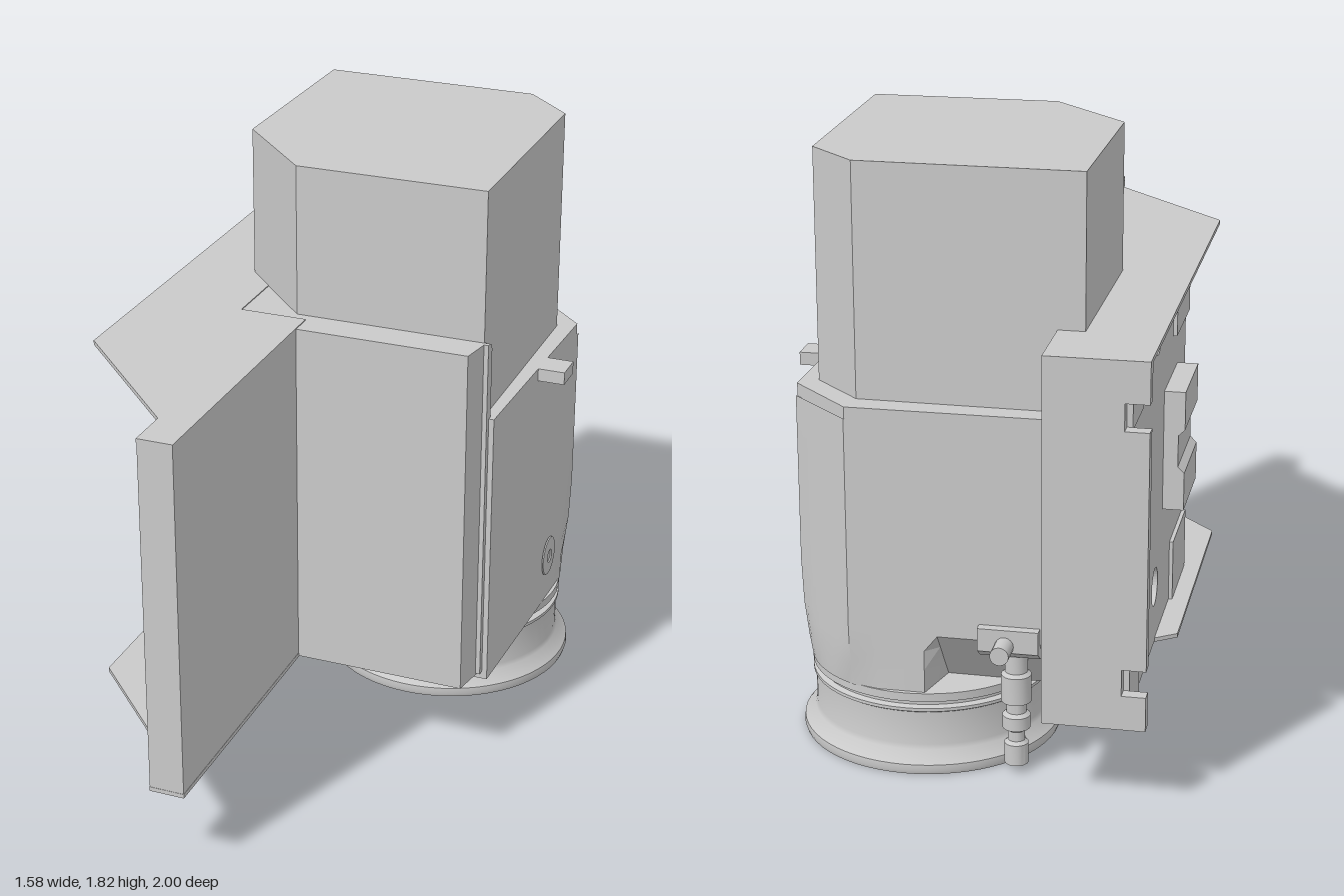
import * as THREE from 'three';
import { toCreasedNormals } from 'three/addons/utils/BufferGeometryUtils.js';
import { RoundedBoxGeometry } from 'three/addons/geometries/RoundedBoxGeometry.js';

const grey = new THREE.MeshStandardMaterial({ color: 0xcacaca });
grey.name = 'machine grey';

export function createModel() {
  const root = new THREE.Group();
  root.name = 'tool holder';
  // Parts are laid out square to the mounting plate: x along it, z away from it
  const unit = new THREE.Group();
  unit.name = 'holder assembly';
  unit.rotation.y = Math.atan2(0.825, 0.565);
  root.add(unit);

  const add = (name, geo, x = 0, y = 0, z = 0) => {
    const m = new THREE.Mesh(geo, grey);
    m.name = name;
    m.position.set(x, y, z);
    unit.add(m);
    return m;
  };
  // Box given by its limits
  const box = (name, x0, x1, y0, y1, z0, z1) =>
    add(name, new THREE.BoxGeometry(x1 - x0, y1 - y0, z1 - z0), (x0 + x1) / 2, (y0 + y1) / 2, (z0 + z1) / 2);
  // Upright prism over a floor plan of [x, z] points
  const prism = (name, plan, y0, y1) => {
    const shape = new THREE.Shape(plan.map(([x, z]) => new THREE.Vector2(x, -z)));
    const geo = new THREE.ExtrudeGeometry(shape, { depth: y1 - y0, bevelEnabled: false });
    return add(name, geo.rotateX(-Math.PI / 2), 0, y0, 0);
  };
  const lathe = (name, pts, x, y, z, seg = 64) => {
    const geo = new THREE.LatheGeometry(pts.map(p => new THREE.Vector2(...p)), seg);
    return add(name, toCreasedNormals(geo, 0.5), x, y, z);
  };
  const CX = 0.351, CZ = 0.238; // spindle axis

  // Upper motor housing
  prism('upperHousing', [[-0.012, -0.283], [-0.267, -0.036], [-0.267, 0.545], [0.475, 0.54], [0.622, 0.389], [0.63, -0.28]], 1.0, 1.82);

  // Lower housing: its front corner narrows to the round flange below,
  // and the last two points slope in at the bottom to leave a connector recess
  const plan = [[-0.26, -0.21], [-0.26, 0.578], [0.351, 0.592], [0.44, 0.594]];
  for (let i = 0; i <= 8; i++) plan.push([0.525 + 0.177 * i / 8, 0.597 - 0.19 * i / 8]);
  plan.push([0.702, 0.32], [0.702, 0.238], [0.702, 0.18], [0.702, 0.14], [0.702, -0.21]);
  const levels = [[0.245, 0.368], [0.32, 0.38], [0.38, 0.387], [0.43, 0.393], [0.57, 0.403], [1.085, 0.403]];
  const rings = levels.map(([y, r]) => plan.map(([x, z], i) => {
    const dx = x - CX, dz = z - CZ, d = Math.hypot(dx, dz);
    const k = dx >= 0 && dz >= 0 ? Math.min(1, r / d) : 1;
    const recess = i >= plan.length - 2 ? Math.max(0, (0.43 - y) * 0.8) : 0;
    return [CX + dx * k - recess, y, CZ + dz * k];
  }));
  const pos = [];
  for (let l = 0; l < rings.length - 1; l++) {
    for (let i = 0; i < plan.length; i++) {
      const j = (i + 1) % plan.length;
      const a = rings[l][i], b = rings[l][j], c = rings[l + 1][j], d = rings[l + 1][i];
      pos.push(...a, ...b, ...c, ...a, ...c, ...d);
    }
  }
  const wall = new THREE.BufferGeometry();
  wall.setAttribute('position', new THREE.Float32BufferAttribute(pos, 3));
  wall.computeVertexNormals();
  add('lowerHousing', toCreasedNormals(wall, 0.35));
  const floor = new THREE.Shape(rings[0].map(p => new THREE.Vector2(p[0], p[2])));
  floor.holes.push(new THREE.Path().absarc(CX, CZ, 0.24, 0, Math.PI * 2, true));
  add('lowerHousingFloor', new THREE.ShapeGeometry(floor, 32).rotateX(Math.PI / 2), 0, 0.245, 0);

  // Collar with tab
  prism('collar', [[-0.26, -0.205], [-0.26, 0.578], [0.135, 0.587], [0.135, 0.67], [0.227, 0.67], [0.227, 0.588],
    [0.515, 0.595], [0.7, 0.405], [0.7, -0.205]], 1.08, 1.12);

  // Round fastener on the front face
  const fastener = lathe('fastener', [[0.064, 0], [0.062, 0.004], [0.022, 0.006], [0.018, 0.002], [0, 0.002]], 0.293, 0.4, 0.594, 32);
  fastener.rotation.x = Math.PI / 2;

  // Side column beside the housings
  prism('sideColumn', [[-0.373, -0.3], [-0.373, 0.532], [-0.27, 0.55], [-0.26, 0.545], [-0.26, -0.02], [-0.05, -0.2], [0.65, -0.2], [0.65, -0.3]], 0.265, 1.36);
  const lipShape = new THREE.Shape();
  lipShape.moveTo(0, 0.27).lineTo(0.035, 0.27).lineTo(0.035, 1.33);
  lipShape.quadraticCurveTo(0.035, 1.36, 0.005, 1.36).lineTo(0, 1.36);
  add('columnLip', new THREE.ExtrudeGeometry(lipShape, { depth: 0.1, bevelEnabled: false }), -0.28, 0, 0.462);

  // Mounting plate with three bores
  const plate = new THREE.Shape();
  plate.moveTo(-0.35, 0.265).lineTo(0.83, 0.265).lineTo(0.83, 1.36).lineTo(-0.35, 1.36).closePath();
  for (const [x, y] of [[0.26, 1.25], [0.26, 0.45], [-0.24, 0.86]])
    plate.holes.push(new THREE.Path().absarc(x, y, 0.06, 0, Math.PI * 2, true));
  add('mountingPlate', new THREE.ExtrudeGeometry(plate, { depth: 0.15, bevelEnabled: false, curveSegments: 20 }), 0, 0, -0.435);
  box('plateCore', -0.35, 0.86, 0.268, 1.357, -0.34, -0.203);
  box('plateEnd', 0.81, 0.87, 0.265, 1.36, -0.43, -0.2);
  for (const [y0, y1] of [[0.265, 0.37], [0.45, 1.16], [1.24, 1.36]])
    box('plateEndRail', 0.83, 0.87, y0, y1, -0.5, -0.42);
  for (const [y0, y1] of [[0.27, 0.47], [1.15, 1.355]]) {
    box('platePad', -0.35, -0.06, y0, y1, -0.447, -0.43);
    box('platePad', 0.64, 0.83, y0, y1, -0.447, -0.43);
  }

  // Locating key: a block with a shallow groove across its back
  const key = new THREE.Shape([[0.65, -0.43], [0.65, -0.5], [0.77, -0.5], [0.79, -0.48], [0.89, -0.48], [0.91, -0.5], [1.03, -0.5], [1.03, -0.43]]
    .map(([y, z]) => new THREE.Vector2(-z, y)));
  const keyMesh = add('locatingKey', new THREE.ExtrudeGeometry(key, { depth: 0.29, bevelEnabled: false }), 0.12, 0, 0);
  keyMesh.geometry.rotateY(Math.PI / 2);
  keyMesh.geometry.translate(-0.29, 0, 0);

  // Hollow wing: top and bottom flanges joined by a web with a thick edge
  const wingEdge = [[-0.3, -0.2], [-0.3, 0.005], [-1.21, 0.005], [-1.21, -0.102], [-1.075, -0.102], [-0.669, -0.5]];
  prism('bottomFlange', [[0.25, -0.2], ...wingEdge, [0.2, -0.5], [0.25, -0.43]], 0.262, 0.275);
  prism('topFlange', [[0.87, -0.5], [0.87, -0.2], ...wingEdge], 1.35, 1.363);
  prism('wingWeb', [[-0.3, 0.004], [-1.209, 0.004], [-1.209, -0.101], [-1.12, -0.101], [-1.1, -0.03], [-0.3, -0.03]], 0.265, 1.36);
  box('wingPanel', -1.105, -0.93, 0.31, 1.31, -0.04, -0.02);

  // Round flange and its stepped bore
  lathe('spindleFlange', [[0, 0.4], [0.23, 0.4], [0.23, 0.16], [0.28, 0.14], [0.29, 0.05], [0.3, 0.03], [0.36, 0.03], [0.365, 0],
    [0.393, 0], [0.397, 0.012], [0.395, 0.03], [0.362, 0.065], [0.357, 0.08], [0.357, 0.185], [0.365, 0.19], [0.365, 0.2],
    [0.347, 0.205], [0.347, 0.215], [0.365, 0.222], [0.365, 0.248], [0.23, 0.25]], CX, 0, CZ);
  for (let i = 0; i < 12; i++) {
    const a = i * Math.PI / 6;
    const rib = add('flangeRib', new THREE.BoxGeometry(0.06, 0.03, 0.025), CX + 0.335 * Math.cos(a), 0.024, CZ + 0.335 * Math.sin(a));
    rib.rotation.y = -a;
  }

  // Latch on the flange: frame with a rounded button
  box('latchFrame', CX - 0.36, CX - 0.3, 0.085, 0.2, CZ - 0.08, CZ + 0.1);
  add('latchButton', new RoundedBoxGeometry(0.03, 0.1, 0.1, 3, 0.014), CX - 0.358, 0.142, CZ + 0.015);

  // Cable connector: bracket, side pin and hanging plug
  const bracket = new THREE.Shape();
  bracket.moveTo(0.6, 0.38).lineTo(0.69, 0.38).lineTo(0.732, 0.41).lineTo(0.732, 0.48).lineTo(0.6, 0.48).closePath();
  add('connectorBracket', new THREE.ExtrudeGeometry(bracket, { depth: 0.18, bevelEnabled: false }), 0, 0, -0.165);
  const pin = add('connectorPin', new THREE.CylinderGeometry(0.028, 0.028, 0.08, 16), 0.765, 0.43, -0.065);
  pin.rotation.z = Math.PI / 2;
  lathe('connectorPlug', [[0, 0.025], [0.036, 0.025], [0.036, 0.09], [0.026, 0.1], [0.026, 0.13], [0.042, 0.14], [0.042, 0.18],
    [0.03, 0.19], [0.03, 0.22], [0.045, 0.225], [0.045, 0.31], [0.034, 0.32], [0.034, 0.385], [0, 0.385]], 0.65, 0, -0.085, 20);
  // Small plug screw on the plate
  const screw = add('plateScrew', new THREE.CylinderGeometry(0.025, 0.025, 0.008, 16), 0.82, 0.345, -0.2);
  screw.rotation.x = Math.PI / 2;

  return root;
}
